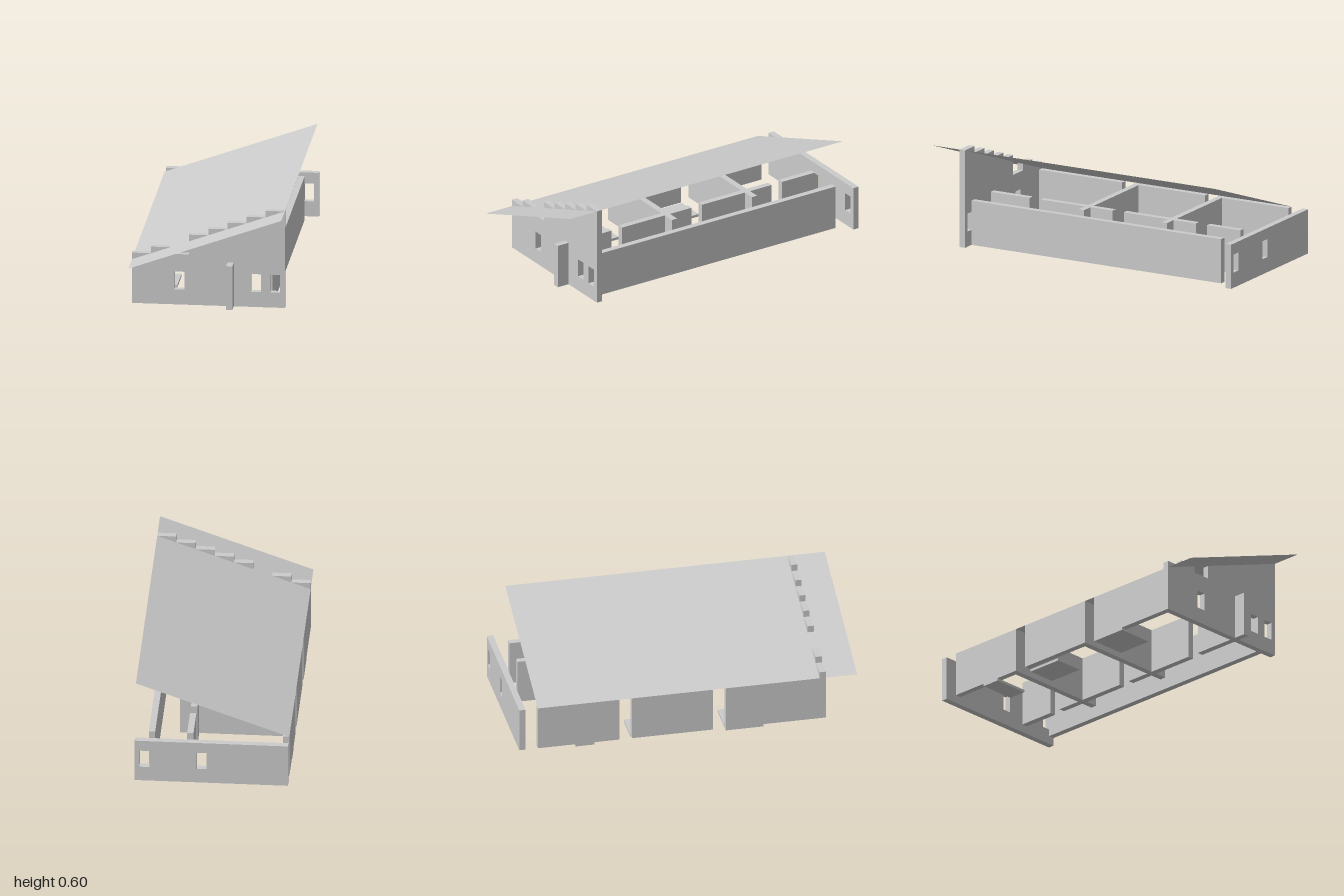
import * as THREE from 'three';

const mat = new THREE.MeshStandardMaterial({ color: 0xcccccc, flatShading: true });
const roofMat = new THREE.MeshStandardMaterial({ color: 0xcccccc, side: THREE.DoubleSide });

const T = 0.037;      // wall thickness
const BASE = 0.015;   // underside of the walls
const EAVE = 0.28;    // top of the low walls
const HALF = 0.445;   // half the width of the house

export function createModel() {
  const house = new THREE.Group();
  house.name = 'house';

  const add = (name, geometry, material = mat) => {
    const mesh = new THREE.Mesh(geometry, material);
    mesh.name = name;
    house.add(mesh);
  };

  // Box given by its limits on each axis
  const block = (name, x0, x1, y0, y1, z0, z1) => {
    const g = new THREE.BoxGeometry(x1 - x0, y1 - y0, z1 - z0);
    g.translate((x0 + x1) / 2, (y0 + y1) / 2, (z0 + z1) / 2);
    add(name, g);
  };

  // Upright wall across x, cut by window openings centred at the given x
  const gableWall = (name, outline, windows, z) => {
    const shape = new THREE.Shape(outline.map(([x, y]) => new THREE.Vector2(x, y)));
    for (const x of windows) {
      const [l, r, b, t] = [x - 0.029, x + 0.029, 0.106, 0.214];
      shape.holes.push(new THREE.Path([[l, b], [l, t], [r, t], [r, b]].map((p) => new THREE.Vector2(...p))));
    }
    const g = new THREE.ExtrudeGeometry(shape, { depth: T, bevelEnabled: false });
    g.translate(0, 0, z);
    add(name, g);
  };

  // Front wall with its stepped top, rising from right to left
  const tops = [0.32, 0.36, 0.32, 0.44, 0.48, 0.52, 0.56, 0.6];
  const step = (2 * HALF) / tops.length;
  const outline = [[-HALF, BASE], [HALF, BASE]];
  for (let i = tops.length - 1; i >= 0; i--) {
    const x = -HALF + i * step;
    outline.push([x + step, tops[i]], [x, tops[i]]);
  }
  gableWall('frontWall', outline, [-0.169, 0.276, 0.388], 0.778);

  // Detached back wall
  gableWall('backWall',
    [[-HALF, BASE], [HALF, BASE], [HALF, EAVE], [-HALF, EAVE]], [0.055, 0.388], -1);

  // Long walls, split by full-height doorways
  const longWall = (name, x, spans) => {
    for (const [z0, z1] of spans) block(name, x, x + T, BASE, EAVE, z0, z1);
  };
  longWall('leftWall', 0.333, [[-0.89, 0.778]]);
  longWall('rightWall', -HALF, [[-0.89, -0.407], [-0.333, 0.148], [0.222, 0.778]]);
  longWall('corridorWall', 0.111, [[-0.89, -0.666], [-0.592, -0.111], [-0.037, 0.444], [0.518, 0.778]]);

  // End of the corridor wall standing out in front
  block('frontButtress', 0.111, 0.148, BASE, EAVE, 0.815, 0.89);

  // Partitions between the rooms
  for (const z of [0.111, -0.444]) block('partition', -HALF + T, 0.222, BASE, EAVE, z, z + T);

  // Thin slabs under the rooms
  block('floorSlab', -HALF, -0.222, 0, BASE, 0.222, 0.444);
  block('floorSlab', -0.4, -0.222, 0, BASE, -0.333, -0.111);
  block('floorSlab', -HALF, -0.222, 0, BASE, -0.666, -0.555);

  // Single-pitch roof sheet
  const roof = new THREE.PlaneGeometry(Math.hypot(2 * HALF, 0.32), 1.89);
  roof.rotateX(-Math.PI / 2);
  roof.rotateZ(Math.atan2(0.32, 2 * HALF));
  roof.translate(0, 0.44, 0.055);
  add('roof', roof, roofMat);

  return house;
}
